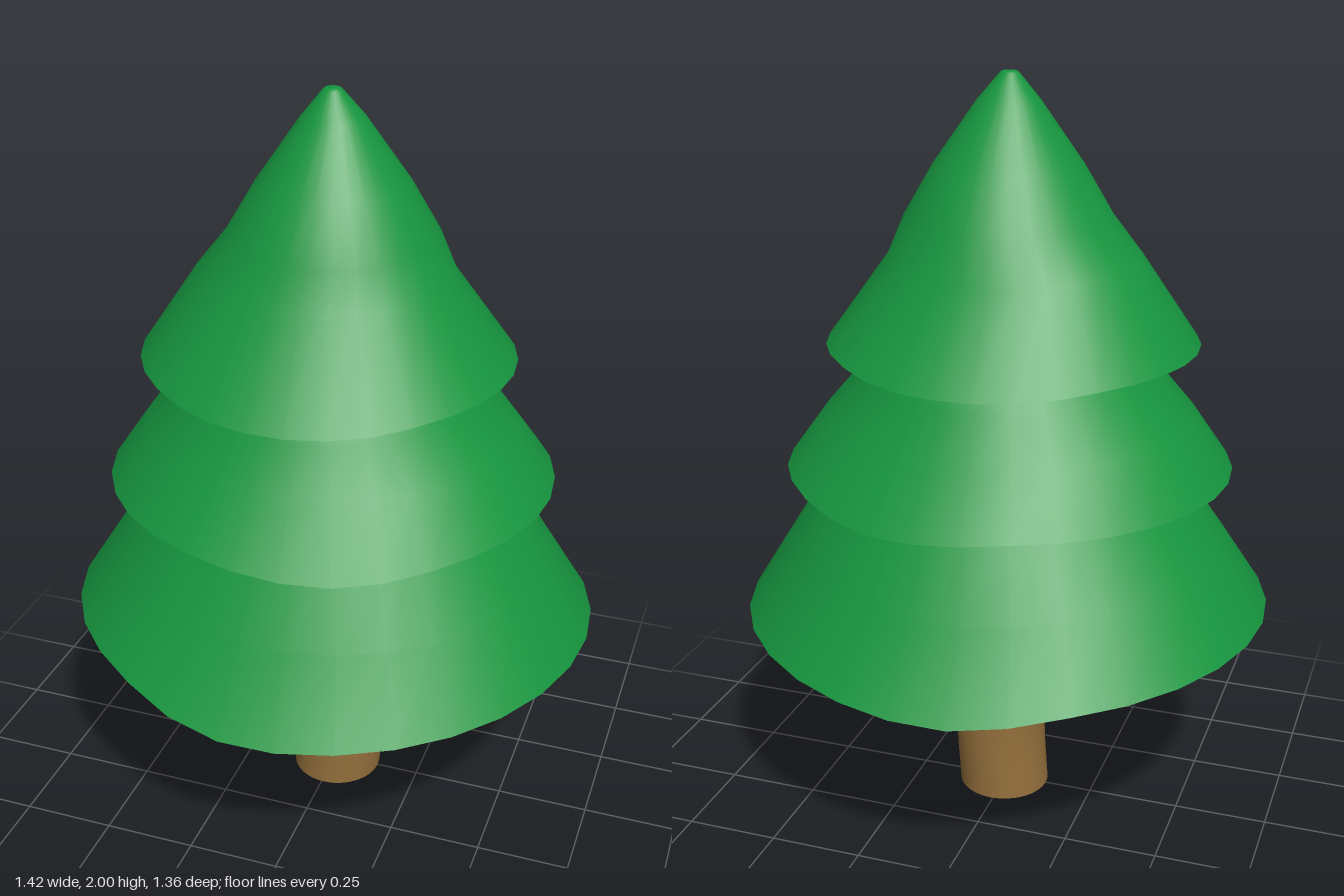
import * as THREE from 'three';

const SEG = 30;

// piecewise linear lookup in [x, y] pairs
function lookup(pts, x) {
  if (x <= pts[0][0]) return pts[0][1];
  for (let i = 1; i < pts.length; i++) {
    const [x0, y0] = pts[i - 1], [x1, y1] = pts[i];
    if (x <= x1) return y0 + (y1 - y0) * (x - x0) / (x1 - x0);
  }
  return pts[pts.length - 1][1];
}

// skin a stack of rings given by point(row, angle), rows going upwards
function loft(rows, point) {
  const pos = [], idx = [], n = SEG;
  for (let i = 0; i < rows; i++)
    for (let j = 0; j < n; j++) pos.push(...point(i, j / n * Math.PI * 2));
  for (let i = 0; i < rows - 1; i++)
    for (let j = 0; j < n; j++) {
      const a = i * n + j, b = i * n + (j + 1) % n;
      idx.push(a, a + n, b, b, a + n, b + n);
    }
  const geo = new THREE.BufferGeometry();
  geo.setAttribute('position', new THREE.Float32BufferAttribute(pos, 3));
  geo.setIndex(idx);
  geo.computeVertexNormals();
  return geo;
}

// rows: [y, left x, right x, half depth]; rim: hem height over x
const TIERS = [
  {
    name: 'lowerBranches',
    rows: [[0.59, -0.71, 0.71, 0.685], [0.77, -0.6, 0.595, 0.555], [0.98, -0.455, 0.46, 0.44], [1.1, -0.36, 0.36, 0.36], [1.22, -0.25, 0.25, 0.25]],
    front: [[-0.71, 0.605], [-0.45, 0.605], [-0.35, 0.59], [-0.2, 0.553], [-0.1, 0.54], [0.05, 0.54], [0.3, 0.555], [0.71, 0.58]],
    back: [[-0.71, 0.605], [-0.3, 0.575], [-0.2, 0.553], [-0.1, 0.54], [0.05, 0.54], [0.3, 0.555], [0.71, 0.58]],
  },
  {
    name: 'middleBranches',
    rows: [[0.985, -0.6, 0.585, 0.575], [1.13, -0.5, 0.48, 0.47], [1.24, -0.405, 0.385, 0.39], [1.31, -0.37, 0.355, 0.365], [1.48, -0.24, 0.22, 0.22]],
    front: [[-0.6, 0.985], [-0.2, 0.982], [0, 0.965], [0.15, 0.955], [0.3, 0.965], [0.45, 0.985], [0.6, 0.985]],
  },
  {
    name: 'topBranches',
    rows: [[1.317, -0.505, 0.47, 0.47], [1.54, -0.355, 0.308, 0.31], [1.64, -0.275, 0.265, 0.265], [1.77, -0.197, 0.188, 0.195], [1.93, -0.085, 0.075, 0.08], [1.995, -0.032, 0.018, 0.025], [2, -0.025, 0.012, 0.018], [2, -0.007, -0.007, 0]],
    front: [[-0.5, 1.32], [-0.35, 1.312], [-0.2, 1.295], [0, 1.29], [0.2, 1.295], [0.35, 1.314], [0.47, 1.317]],
  },
];

function createTier({ name, rows, front, back = front }, material) {
  const group = new THREE.Group();
  group.name = name;
  const [y0, l0, r0, d0] = rows[0];
  const hem = (x, z) => {
    const k = THREE.MathUtils.clamp(z / d0 * 2 + 0.5, 0, 1);
    return lookup(back, x) * (1 - k) + lookup(front, x) * k;
  };
  // sloping skirt; the wavy hem fades out upwards
  const skirt = loft(rows.length, (i, a) => {
    const [y, l, r, d] = rows[i], c = Math.cos(a), s = Math.sin(a);
    const fade = [1, 0.4][i] ?? 0;
    const wave = hem((l0 + r0) / 2 + c * (r0 - l0) / 2, s * d0) - y0;
    return [(l + r) / 2 + c * (r - l) / 2, y + wave * fade, s * d];
  });
  // underside sheet following the hem
  const scales = [0, 0.25, 0.5, 0.75, 1];
  const under = loft(scales.length, (i, a) => {
    const x = (l0 + r0) / 2 + Math.cos(a) * (r0 - l0) / 2 * scales[i];
    const z = Math.sin(a) * d0 * scales[i];
    return [x, hem(x, z), z];
  });
  for (const [part, geo] of [['skirt', skirt], ['underside', under]]) {
    const mesh = new THREE.Mesh(geo, material);
    mesh.name = part;
    group.add(mesh);
  }
  return group;
}

// gently bent trunk
function createTrunk() {
  const height = 0.66;
  const geo = new THREE.CylinderGeometry(0.125, 0.125, height, 32, 12);
  geo.translate(0, height / 2, 0);
  const bend = new THREE.CatmullRomCurve3(
    [[0.007, 0], [0.017, 0.18], [0.006, 0.34], [-0.015, 0.52], [-0.02, 0.66]].map(([x, y]) => new THREE.Vector3(x, y, 0)));
  const path = bend.getPoints(40).map(p => [p.y, p.x]);
  const p = geo.attributes.position;
  for (let i = 0; i < p.count; i++) p.setX(i, p.getX(i) + lookup(path, p.getY(i)));
  geo.computeVertexNormals();
  const mesh = new THREE.Mesh(geo, new THREE.MeshStandardMaterial({ color: 0x94703c }));
  mesh.name = 'trunk';
  return mesh;
}

export function createModel() {
  const tree = new THREE.Group();
  tree.name = 'tree';
  const green = new THREE.MeshStandardMaterial({ color: 0x16963f, side: THREE.DoubleSide });
  tree.add(createTrunk());
  for (const tier of TIERS) tree.add(createTier(tier, green));
  return tree;
}
